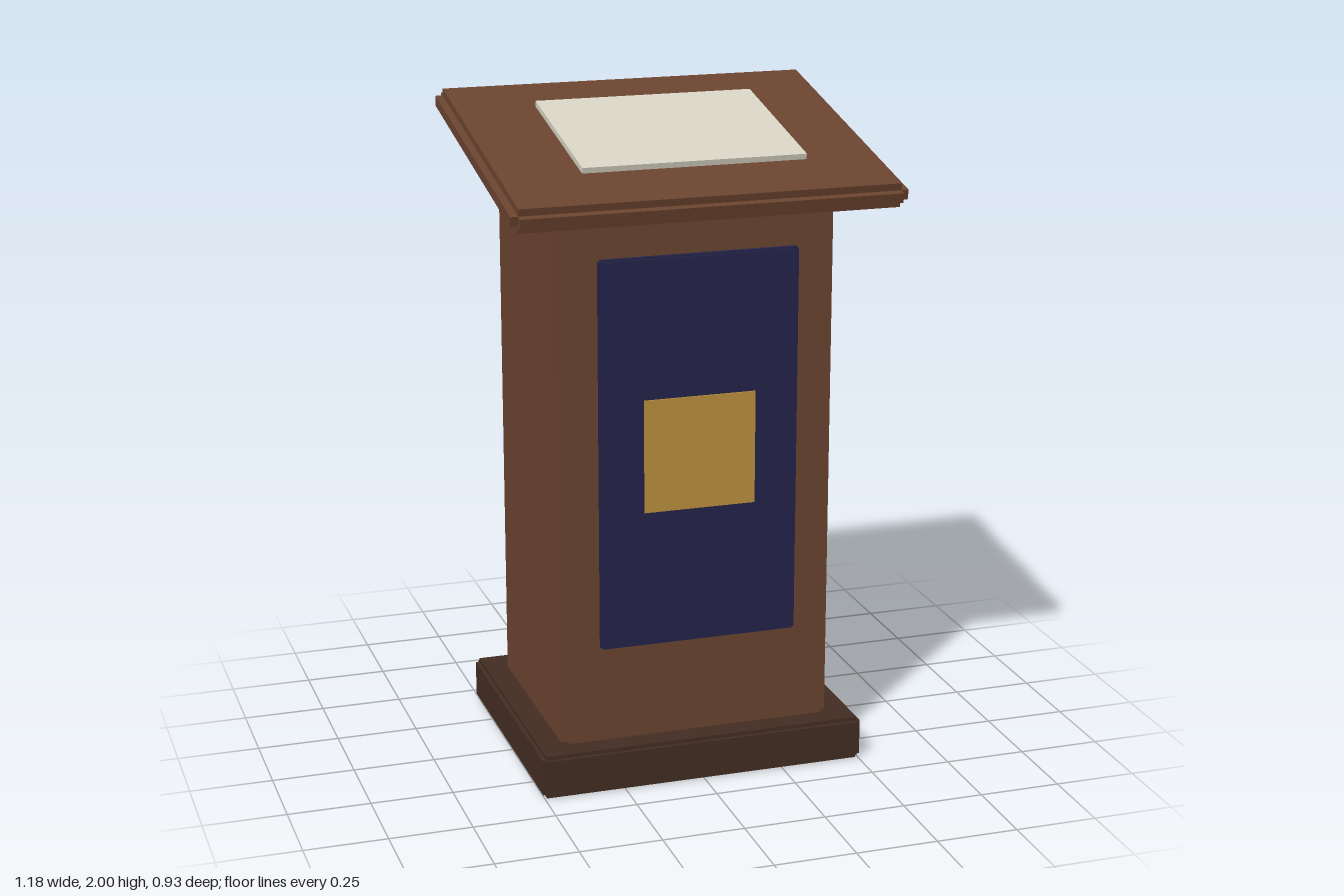
import * as THREE from 'three';

const paint = (name, color) => {
  const m = new THREE.MeshStandardMaterial({ color });
  m.name = name;
  return m;
};

export function createModel() {
  const wood = paint('warm wood', 0x6b4430);
  const darkWood = paint('dark wood', 0x432d23);
  const navy = paint('navy cloth', 0x24244a);
  const gold = paint('gold', 0xbb913d);
  const paper = paint('paper', 0xd8d4c5);

  const box = (name, [w, h, d], [x, y, z], material) => {
    const mesh = new THREE.Mesh(new THREE.BoxGeometry(w, h, d), material);
    mesh.name = name;
    mesh.position.set(x, y, z);
    return mesh;
  };

  // Block with stepped edges: three crossed boxes, each full size along one axis
  const steppedBlock = (name, size, position, step, material) => {
    const group = new THREE.Group();
    group.name = name;
    group.position.set(...position);
    ['Width', 'Height', 'Depth'].forEach((label, axis) => {
      const dims = size.map((s, i) => (i === axis ? s : s - 2 * step));
      group.add(box(name + label, dims, [0, 0, 0], material));
    });
    return group;
  };

  const model = new THREE.Group();
  model.name = 'lectern';
  const tilt = 0.21;

  // Plinth and column
  model.add(steppedBlock('base', [1.01, 0.134, 0.844], [0, 0.067, -0.032], 0.012, darkWood));
  model.add(steppedBlock('column', [0.846, 1.69, 0.676], [0, 0.957, -0.031], 0.022, wood));

  // Front panel with its square plaque
  model.add(steppedBlock('frontPanel', [0.61, 1.188, 0.026], [0, 1.024, 0.313], 0.006, navy));
  model.add(box('plaque', [0.342, 0.344, 0.008], [0, 1.021, 0.327], gold));

  // Sloping desk top
  const desk = steppedBlock('deskTop', [1.184, 0.0745, 0.947], [0, 1.87, 0], 0.022, wood);
  desk.rotation.x = tilt;
  model.add(desk);

  // Sheet resting just above the desk
  const sheet = box('paperSheet', [0.677, 0.017, 0.511], [0, 1.926, 0.032], paper);
  sheet.rotation.x = tilt;
  model.add(sheet);

  return model;
}
